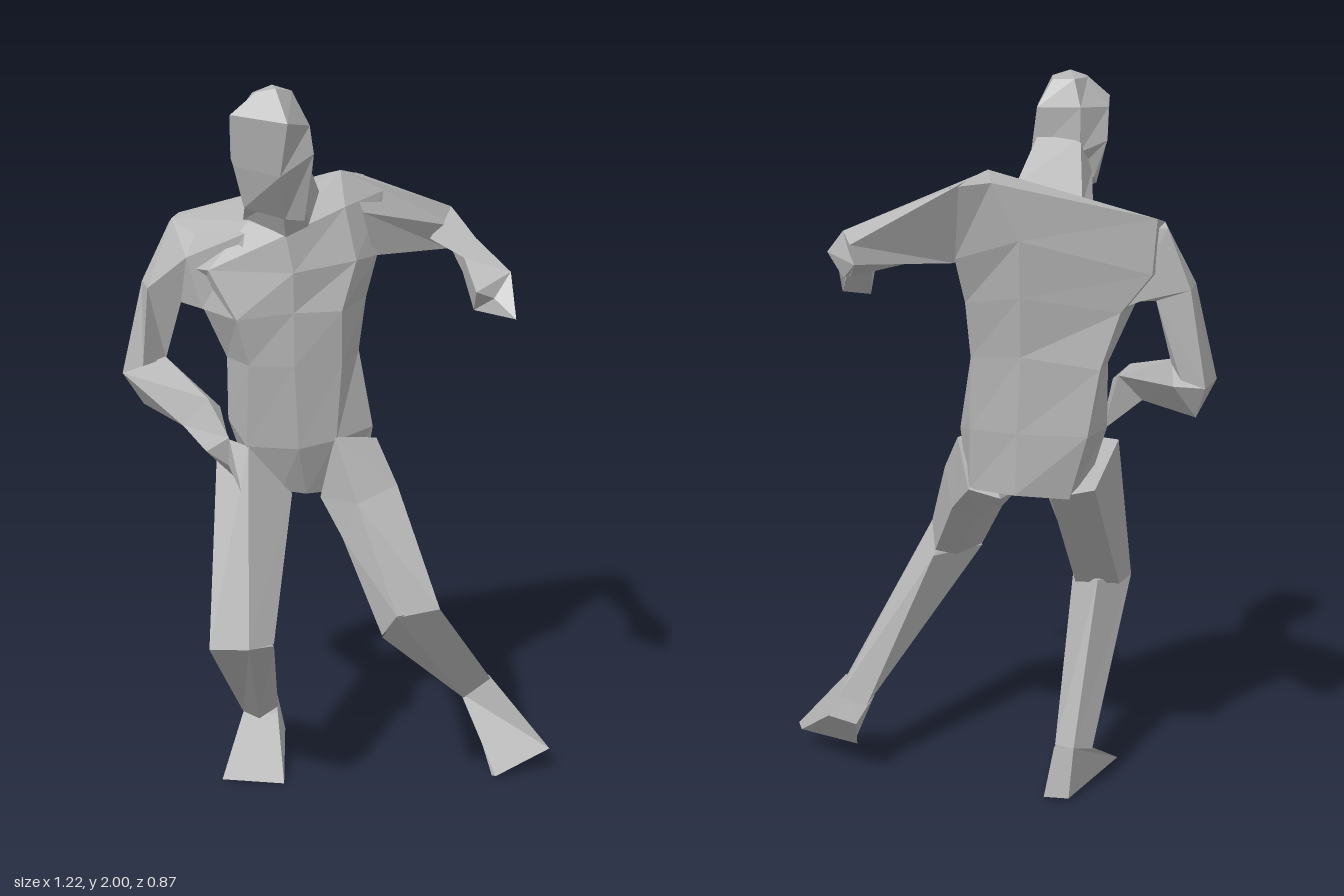
import * as THREE from 'three';

const skin = new THREE.MeshStandardMaterial({ color: 0xb4b4b4, flatShading: true });
skin.name = 'plain grey';

// Closed faceted skin over cross-sections; each ring is a list of [x, y, z] corners.
function loft(name, rings, startTip, endTip) {
  const n = rings[0].length;
  const centre = r => [0, 1, 2].map(k => r.reduce((s, p) => s + p[k], 0) / n);
  const first = rings[0], last = rings[rings.length - 1];
  const a = startTip || centre(first), b = endTip || centre(last);
  const tris = [];
  for (let i = 0; i < n; i++) {
    const j = (i + 1) % n;
    tris.push([a, first[j], first[i]], [b, last[i], last[j]]);
    for (let k = 0; k + 1 < rings.length; k++) {
      const r = rings[k], s = rings[k + 1];
      tris.push([r[i], r[j], s[j]], [r[i], s[j], s[i]]);
    }
  }
  // Signed volume tells whether the faces point outwards
  const c = new THREE.Vector3(...a);
  let volume = 0;
  for (const t of tris) {
    const [p, q, r] = t.map(v => new THREE.Vector3(...v).sub(c));
    volume += p.dot(q.cross(r));
  }
  if (volume < 0) tris.forEach(t => t.reverse());
  const geo = new THREE.BufferGeometry();
  geo.setAttribute('position', new THREE.Float32BufferAttribute(tris.flat(2), 3));
  geo.computeVertexNormals();
  const mesh = new THREE.Mesh(geo, skin);
  mesh.name = name;
  return mesh;
}

export function createModel() {
  const model = new THREE.Group();
  model.name = 'crouchingFigure';
  const add = (...args) => model.add(loft(...args));

  // Torso rings run from front centre round the left side and back
  const waist = [[-.13, 1.24, .08], [0, 1.24, .05], [.05, 1.25, -.08], [.04, 1.25, -.175],
    [-.1, 1.26, -.212], [-.31, 1.23, -.2], [-.32, 1.23, -.08], [-.255, 1.24, .06]];
  add('pelvis', [
    [[-.1, .85, 0], [-.04, .85, -.02], [.07, .9, -.08], [.05, .88, -.15],
      [-.085, .88, -.205], [-.23, .87, -.185], [-.29, .95, -.1], [-.17, .86, 0]],
    [[-.12, 1, .06], [-.015, 1.02, .04], [.09, 1.03, -.06], [.045, 1.05, -.165],
      [-.09, 1.05, -.208], [-.28, 1.05, -.21], [-.32, 1.05, -.08], [-.265, 1, .03]],
    waist,
  ]);
  add('chest', [
    waist,
    [[-.13, 1.39, .085], [0, 1.39, .06], [.07, 1.4, -.08], [.05, 1.4, -.2],
      [-.1, 1.42, -.23], [-.36, 1.38, -.18], [-.39, 1.39, -.07], [-.285, 1.37, .08]],
    [[-.13, 1.5, .09], [.04, 1.52, .02], [.1, 1.52, -.07], [.07, 1.52, -.24],
      [-.1, 1.57, -.245], [-.44, 1.48, -.17], [-.5, 1.5, -.06], [-.36, 1.5, .045]],
    [[-.15, 1.6, .08], [.01, 1.66, -.02], [.12, 1.68, -.18], [.07, 1.71, -.3],
      [-.03, 1.72, -.265], [-.45, 1.625, -.16], [-.468, 1.615, -.12], [-.25, 1.63, .03]],
  ], null, [0, 1.745, -.13]);

  // Neck and head
  add('neck', [
    [[-.265, 1.63, .01], [-.15, 1.595, .08], [-.09, 1.62, .05], [-.06, 1.7, -.03], [-.24, 1.65, -.03]],
    [[-.25, 1.73, .12], [-.16, 1.71, .15], [-.1, 1.73, .14], [-.1, 1.82, .09], [-.22, 1.82, .09]],
  ]);
  add('head', [
    [[-.255, 1.69, .19], [-.15, 1.66, .19], [-.1, 1.655, .18], [-.09, 1.69, .13], [-.2, 1.72, .09], [-.255, 1.71, .12]],
    [[-.28, 1.8, .21], [-.16, 1.78, .272], [-.075, 1.83, .21], [-.08, 1.76, .1], [-.22, 1.78, .08], [-.29, 1.81, .13]],
    [[-.285, 1.93, .235], [-.14, 1.915, .312], [-.085, 1.9, .2], [-.1, 1.9, .085], [-.22, 1.9, .08], [-.29, 1.9, .15]],
    [[-.22, 1.985, .23], [-.17, 1.995, .24], [-.13, 1.985, .18], [-.14, 1.975, .11], [-.2, 1.975, .1], [-.23, 1.98, .17]],
  ], null, [-.18, 2, .18]);

  // Left arm, swung out and back with the forearm pointing forward
  add('leftUpperArm', [
    [[.02, 1.735, -.15], [.06, 1.64, -.05], [.09, 1.52, -.06], [.07, 1.51, -.24], [.05, 1.715, -.3]],
    [[.33, 1.605, -.385], [.35, 1.55, -.35], [.32, 1.485, -.36], [.29, 1.525, -.435], [.3, 1.575, -.437]],
  ]);
  const leftWrist = [[.375, 1.56, -.1], [.385, 1.5, -.08], [.335, 1.475, -.05], [.335, 1.52, -.02]];
  add('leftForearm', [
    [[.33, 1.605, -.385], [.375, 1.55, -.375], [.33, 1.485, -.39], [.26, 1.53, -.27]],
    leftWrist,
  ], [.29, 1.525, -.435]);
  add('leftHand', [
    leftWrist,
    [[.458, 1.49, .03], [.465, 1.378, .12], [.36, 1.385, .03], [.36, 1.445, .085]],
  ]);

  // Right arm: broad shoulder, hanging down with the forearm across the front
  add('rightUpperArm', [
    [[-.38, 1.63, -.1], [-.26, 1.6, .05], [-.29, 1.37, .07], [-.36, 1.39, -.17], [-.43, 1.6, -.15]],
    [[-.467, 1.615, -.12], [-.42, 1.53, .015], [-.38, 1.39, .02], [-.41, 1.41, -.165], [-.477, 1.6, -.15]],
    [[-.55, 1.45, -.07], [-.53, 1.44, -.015], [-.44, 1.4, -.02], [-.45, 1.41, -.15], [-.54, 1.44, -.15]],
    [[-.612, 1.19, -.06], [-.55, 1.22, -.02], [-.49, 1.23, -.07], [-.52, 1.2, -.15], [-.585, 1.18, -.155]],
  ]);
  const rightWrist = [[-.43, 1.1, .16], [-.36, 1.18, .18], [-.33, 1.15, .15], [-.4, 1.085, .13]];
  add('rightForearm', [
    [[-.612, 1.19, -.06], [-.49, 1.24, -.05], [-.5, 1.18, -.14], [-.56, 1.09, -.1]],
    rightWrist,
  ], [-.585, 1.18, -.155]);
  add('rightHand', [
    rightWrist,
    [[-.36, 1.07, .3], [-.3, 1.11, .31], [-.27, .97, .34], [-.28, .97, .24]],
  ]);

  // Left leg, stepping out to the side
  add('leftThigh', [
    [[-.02, 1.03, .04], [.1, 1, -.05], [.05, .88, -.16], [-.04, .86, -.17], [-.06, .84, 0]],
    [[.04, .87, .15], [.155, .89, .045], [.12, .79, -.03], [.05, .76, -.01], [0, .76, .12]],
    [[.135, .655, .432], [.255, .64, .35], [.21, .6, .17], [.15, .58, .2], [.1, .57, .36]],
  ]);
  add('leftCalf', [
    [[.135, .65, .43], [.255, .64, .35], [.21, .59, .14], [.1, .565, .36]],
    [[.36, .21, 0], [.44, .262, -.02], [.445, .23, -.11], [.365, .2, -.09]],
  ]);
  add('leftFoot', [
    [[.355, .21, -.03], [.443, .265, -.02], [.455, .2, -.18], [.38, .17, -.16]],
    [[.45, .005, .1], [.612, .07, .055], [.6, .055, .04], [.44, 0, .085]],
  ]);

  // Right leg, bent beneath the body
  add('rightThigh', [
    [[-.26, 1, .03], [-.35, 1.01, -.05], [-.3, .9, -.19], [-.18, .87, -.18], [-.14, .85, 0]],
    [[-.255, .545, .392], [-.365, .51, .31], [-.34, .52, .18], [-.21, .52, .18], [-.19, .53, .32]],
  ]);
  add('rightCalf', [
    [[-.255, .545, .39], [-.365, .51, .31], [-.28, .54, .14], [-.19, .52, .31]],
    [[-.245, .12, -.06], [-.295, .12, -.11], [-.25, .15, -.185], [-.19, .13, -.12]],
  ]);
  add('rightFoot', [
    [[-.295, .12, -.1], [-.19, .12, -.09], [-.195, .15, -.185], [-.25, .15, -.185]],
    [[-.35, .005, .1], [-.17, 0, .12], [-.17, .01, -.21], [-.24, .01, -.21]],
  ]);
  return model;
}
